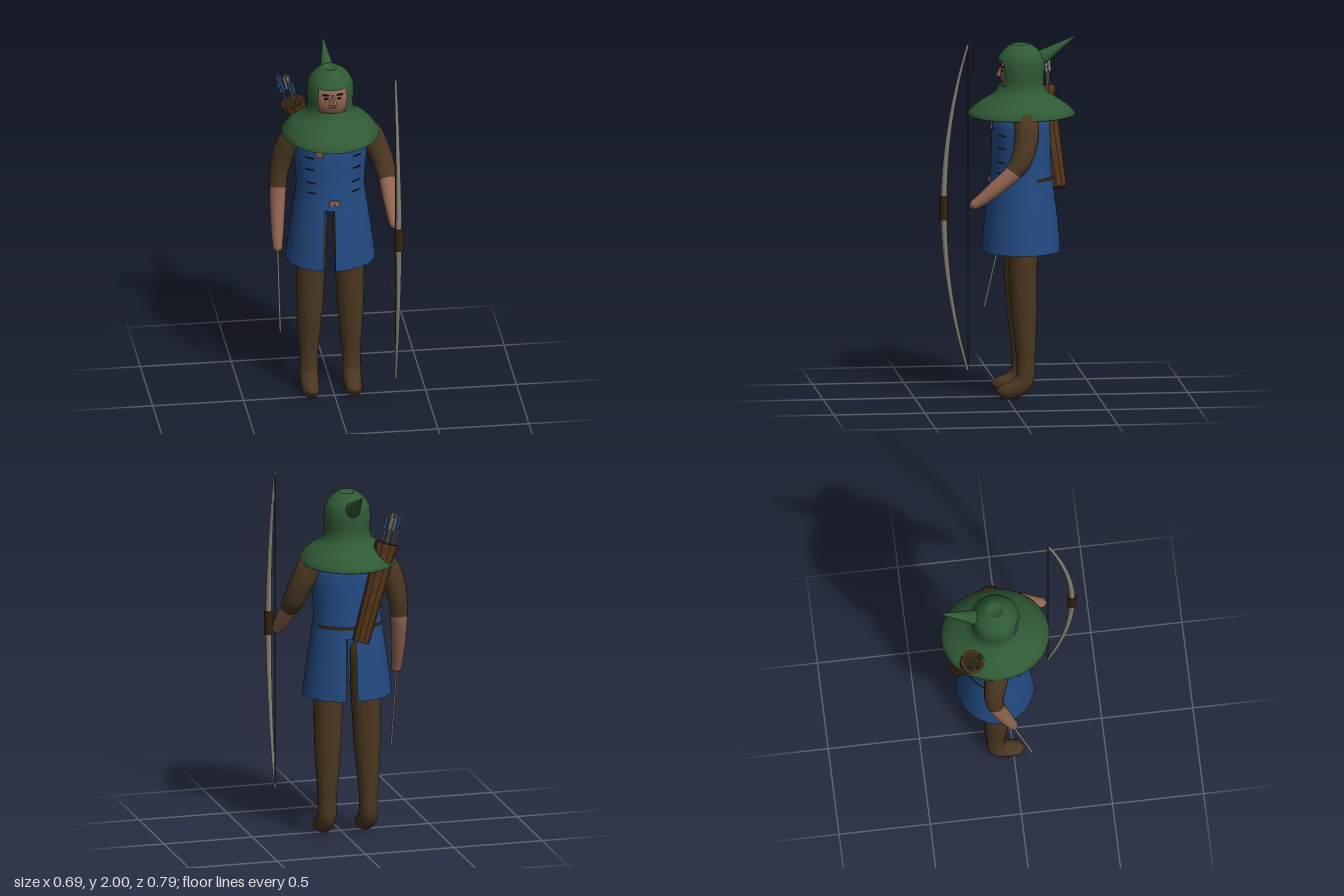
import * as THREE from 'three';
import { mergeVertices } from 'three/addons/utils/BufferGeometryUtils.js';

const material = (name, color, extra = {}) => {
  const m = new THREE.MeshStandardMaterial({ color, ...extra });
  m.name = name;
  return m;
};
const V = (x, y, z) => new THREE.Vector3(x, y, z);
const CX = -0.0125, CZ = -0.086; // body axis
const SEG = 48;

// Elliptical rings [y, rx, rz] from bottom to top; skip(angle in degrees, y) leaves openings.
function loft(rings, skip = () => false) {
  const pos = [], index = [];
  for (const [y, rx, rz] of rings) {
    for (let j = 0; j < SEG; j++) {
      const t = (j / SEG) * Math.PI * 2;
      pos.push(CX + rx * Math.sin(t), y, CZ + rz * Math.cos(t));
    }
  }
  for (let i = 0; i < rings.length - 1; i++) {
    for (let j = 0; j < SEG; j++) {
      let deg = ((j + 0.5) / SEG) * 360;
      if (deg > 180) deg -= 360;
      if (skip(deg, (rings[i][0] + rings[i + 1][0]) / 2)) continue;
      const k = (j + 1) % SEG, a = i * SEG, b = a + SEG;
      index.push(a + j, a + k, b + k, a + j, b + k, b + j);
    }
  }
  const g = new THREE.BufferGeometry();
  g.setAttribute('position', new THREE.Float32BufferAttribute(pos, 3));
  g.setIndex(index);
  g.computeVertexNormals();
  return g;
}

// Tube through points [x, y, z, radius].
function limb(pts, sides = 16, steps = 40) {
  const curve = new THREE.CatmullRomCurve3(pts.map(p => V(p[0], p[1], p[2])));
  let g = new THREE.TubeGeometry(curve, steps, 1, sides);
  const p = g.attributes.position, v = V(0, 0, 0);
  for (let i = 0; i <= steps; i++) {
    const c = curve.getPointAt(i / steps);
    const f = curve.getUtoTmapping(i / steps) * (pts.length - 1);
    const k = Math.min(Math.floor(f), pts.length - 2);
    const r = THREE.MathUtils.lerp(pts[k][3], pts[k + 1][3], f - k);
    for (let j = 0; j <= sides; j++) {
      const n = i * (sides + 1) + j;
      v.fromBufferAttribute(p, n).sub(c).multiplyScalar(r).add(c);
      p.setXYZ(n, v.x, v.y, v.z);
    }
  }
  g.deleteAttribute('uv');
  g.deleteAttribute('normal');
  g = mergeVertices(g, 1e-5);
  g.computeVertexNormals();
  return g;
}

// Cylinder from a (radius ra) to b (radius rb).
function rod(a, b, ra, rb = ra, sides = 8) {
  const d = b.clone().sub(a);
  const g = new THREE.CylinderGeometry(rb, ra, d.length(), sides);
  g.applyQuaternion(new THREE.Quaternion().setFromUnitVectors(V(0, 1, 0), d.normalize()));
  const m = a.clone().add(b).multiplyScalar(0.5);
  return g.translate(m.x, m.y, m.z);
}

function flat(g) {
  const n = g.toNonIndexed();
  n.computeVertexNormals();
  return n;
}

export function createModel() {
  const green = material('hood green', 0x2f5a35, { side: THREE.DoubleSide });
  const blue = material('tunic blue', 0x234a82, { side: THREE.DoubleSide });
  const brown = material('cloth brown', 0x4b3721);
  const skin = material('skin', 0x8f6450);
  const leather = material('quiver leather', 0x513219);
  const dark = material('dark leather', 0x33230d, { side: THREE.DoubleSide });
  const grey = material('weathered wood', 0x857f75);
  const copper = material('copper', 0xa0633f);
  const black = material('black', 0x15130f);

  const model = new THREE.Group();
  model.name = 'archer';
  const add = (name, geometry, mat, parent = model) => {
    const m = new THREE.Mesh(geometry, mat);
    m.name = name;
    parent.add(m);
    return m;
  };

  // Hood with flared cape and square face opening
  add('hood', loft([
    [1.553, 0.255, 0.285], [1.56, 0.267, 0.297], [1.585, 0.25, 0.28], [1.61, 0.232, 0.25],
    [1.635, 0.208, 0.215], [1.66, 0.165, 0.17], [1.685, 0.135, 0.14], [1.722, 0.122, 0.122],
    [1.76, 0.125, 0.124], [1.81, 0.128, 0.128], [1.86, 0.123, 0.128], [1.89, 0.109, 0.113],
    [1.92, 0.085, 0.088], [1.938, 0.06, 0.062], [1.946, 0.046, 0.05], [1.942, 0.036, 0.04],
    [1.932, 0.028, 0.03], [1.929, 0.0005, 0.0005],
  ], (deg, y) => Math.abs(deg) < 36 && y > 1.722 && y < 1.86), green);
  add('hoodPoint', flat(rod(V(CX, 1.865, -0.195), V(CX, 1.988, -0.392), 0.043, 0.001, 12)), green);

  // Head and face
  add('head', new THREE.SphereGeometry(1, 28, 20).scale(0.116, 0.13, 0.108).translate(CX, 1.785, -0.08), skin);
  add('neck', rod(V(CX, 1.52, CZ), V(CX, 1.72, CZ), 0.065, 0.06, 16), skin);
  add('nose', flat(rod(V(CX, 1.768, 0.03), V(CX, 1.822, 0.022), 0.022, 0.006, 4)), skin);
  for (const s of [-1, 1]) {
    const eye = add('eye', new THREE.BoxGeometry(0.022, 0.01, 0.008), black);
    eye.position.set(CX + s * 0.034, 1.803, 0.022);
    const brow = add('eyebrow', new THREE.BoxGeometry(0.036, 0.008, 0.009), black);
    brow.position.set(CX + s * 0.037, 1.824, 0.019);
    brow.rotation.z = s * 0.12;
  }
  add('mouth', new THREE.BoxGeometry(0.04, 0.006, 0.008), dark).position.set(CX, 1.748, 0.021);

  // Tunic, slit at the front and back
  add('tunic', loft([
    [0.81, 0.246, 0.216], [0.9, 0.235, 0.209], [1.03, 0.217, 0.197], [1.155, 0.199, 0.179],
    [1.25, 0.186, 0.166], [1.33, 0.19, 0.163], [1.42, 0.199, 0.161], [1.49, 0.2, 0.158],
    [1.53, 0.193, 0.153], [1.56, 0.165, 0.125], [1.59, 0.12, 0.09], [1.61, 0.065, 0.065],
  ], (deg, y) => y < 1.155 && ((deg < 0 && deg > -15) || deg > 165)), blue);
  add('belt', loft([[1.205, 0.197, 0.177], [1.224, 0.195, 0.175]], deg => Math.abs(deg) < 110), dark);

  // Details laid on the tunic front at a given angle and height
  const onTunic = (mesh, deg, y, rx, rz) => {
    const t = THREE.MathUtils.degToRad(deg);
    mesh.position.set(CX + rx * Math.sin(t), y, CZ + rz * Math.cos(t));
    mesh.rotation.y = Math.atan2(Math.sin(t) / rx, Math.cos(t) / rz);
  };
  for (const [y, rx, rz] of [[1.46, 0.2, 0.16], [1.39, 0.197, 0.162], [1.31, 0.189, 0.164], [1.25, 0.186, 0.166]]) {
    for (const s of [-1, 1]) {
      onTunic(add('stitch', new THREE.BoxGeometry(0.05, 0.006, 0.008), black), s * 41, y, rx, rz);
    }
  }
  const star = new THREE.Shape();
  for (let i = 0; i < 10; i++) {
    const r = i % 2 ? 0.014 : 0.033, a = (i * Math.PI) / 5;
    star[i ? 'lineTo' : 'moveTo'](r * Math.sin(a), r * Math.cos(a));
  }
  onTunic(add('starBadge', new THREE.ExtrudeGeometry(star, { depth: 0.008, bevelEnabled: false }), copper), -23, 1.492, 0.2, 0.159);
  const clasp = new THREE.Shape();
  clasp.moveTo(-0.03, -0.014);
  clasp.lineTo(-0.024, 0.014);
  clasp.lineTo(0.024, 0.014);
  clasp.lineTo(0.03, -0.014);
  clasp.lineTo(0.012, -0.014);
  clasp.lineTo(0, -0.002);
  clasp.lineTo(-0.012, -0.014);
  onTunic(add('beltClasp', new THREE.ExtrudeGeometry(clasp, { depth: 0.008, bevelEnabled: false }), copper), 0, 1.203, 0.193, 0.173);

  // Legs with soft shoes
  for (const s of [-1, 1]) {
    add(s < 0 ? 'rightLeg' : 'leftLeg', limb([
      [0.088, 1.12, -0.085, 0.02], [0.095, 1.05, -0.085, 0.08], [0.105, 0.81, -0.083, 0.083],
      [0.112, 0.5, -0.09, 0.073], [0.117, 0.22, -0.098, 0.051], [0.118, 0.105, -0.09, 0.053],
      [0.118, 0.058, -0.04, 0.05], [0.118, 0.047, 0.02, 0.045], [0.118, 0.047, 0.05, 0.034],
      [0.118, 0.049, 0.064, 0.002],
    ].map(([x, ...rest]) => [CX + s * x, ...rest])), brown);
  }

  // Right arm hanging, holding an arrow
  add('rightSleeve', limb([
    [-0.13, 1.55, -0.09, 0.04], [-0.215, 1.53, -0.095, 0.065], [-0.262, 1.44, -0.115, 0.062],
    [-0.292, 1.3, -0.125, 0.052], [-0.296, 1.235, -0.118, 0.049],
  ]), brown);
  add('rightForearm', limb([
    [-0.294, 1.29, -0.125, 0.044], [-0.298, 1.2, -0.113, 0.046], [-0.305, 1.05, -0.07, 0.039],
    [-0.31, 0.93, -0.03, 0.029], [-0.31, 0.895, -0.02, 0.026], [-0.31, 0.877, -0.014, 0.002],
  ]), skin);
  add('heldArrow', rod(V(-0.31, 0.92, -0.03), V(-0.31, 0.445, 0.081), 0.006), grey);

  // Left arm reaching forward
  add('leftSleeve', limb([
    [0.11, 1.55, -0.09, 0.04], [0.19, 1.54, -0.092, 0.07], [0.242, 1.45, -0.085, 0.066],
    [0.282, 1.34, -0.05, 0.057], [0.291, 1.285, -0.005, 0.05],
  ]), brown);
  add('leftForearm', limb([
    [0.285, 1.32, -0.04, 0.042], [0.292, 1.275, 0.0, 0.047], [0.298, 1.2, 0.09, 0.043],
    [0.301, 1.13, 0.18, 0.032], [0.302, 1.11, 0.215, 0.027], [0.302, 1.102, 0.236, 0.002],
  ]), skin);

  // Bow
  const bow = new THREE.Group();
  bow.name = 'bow';
  model.add(bow);
  const arc = [];
  for (let i = -6; i <= 6; i++) {
    const u = i / 6;
    arc.push([0.302, 1.1 + 0.9 * u, 0.374 - 0.132 * u * u, 0.018 - 0.011 * Math.abs(u)]);
  }
  add('bowStave', limb(arc, 8, 36), grey, bow);
  add('bowString', rod(V(0.302, 0.2, 0.242), V(0.302, 2, 0.242), 0.003, 0.003, 5), dark, bow);
  add('bowGrip', rod(V(0.302, 1.035, 0.374), V(0.302, 1.165, 0.374), 0.025, 0.025, 10), dark, bow);

  // Quiver slung across the back
  const quiver = new THREE.Group();
  quiver.name = 'quiver';
  model.add(quiver);
  const low = V(-0.03, 1.145, -0.295), top = V(-0.198, 1.675, -0.232);
  const along = t => low.clone().lerp(top, t);
  add('quiverBody', flat(rod(low, along(0.98), 0.047, 0.06, 10)), leather, quiver);
  add('quiverRim', flat(rod(along(0.92), top, 0.065, 0.067, 10)), leather, quiver);
  add('quiverMouth', rod(top, along(1.004), 0.056, 0.056, 10), dark, quiver);

  // Arrows with crossed feathers
  const dir = V(-0.3, 1, 0.04).normalize();
  const spots = [[-0.03, -0.025, 0.185], [0.012, -0.03, 0.18], [-0.032, 0.022, 0.175], [0.006, 0.008, 0.19], [0.022, 0.035, 0.165]];
  spots.forEach(([x, z, len], i) => {
    const arrow = new THREE.Group();
    arrow.name = 'quiverArrow';
    arrow.position.set(top.x + x, top.y - 0.01, top.z + z);
    arrow.quaternion.setFromUnitVectors(V(0, 1, 0), dir);
    quiver.add(arrow);
    add('arrowShaft', rod(V(0, -0.06, 0), V(0, len, 0), 0.005, 0.005, 6), grey, arrow);
    for (const turn of [0, Math.PI / 2]) {
      const feather = add('feather', new THREE.BoxGeometry(0.032, 0.075, 0.004), i % 2 ? grey : blue, arrow);
      feather.position.y = len - 0.05;
      feather.rotation.y = turn;
    }
  });
  return model;
}
